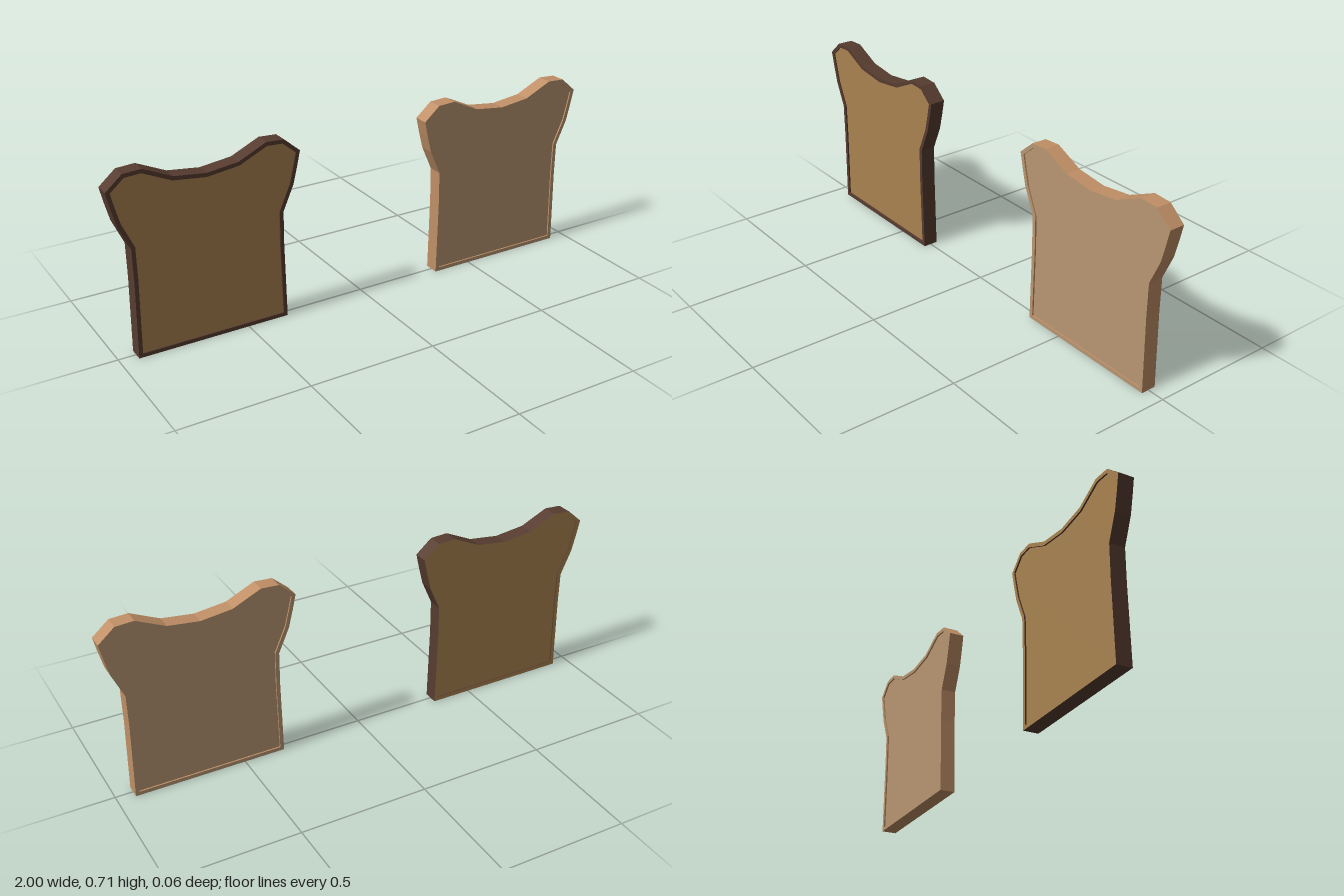
import * as THREE from 'three';

const THICK = 0.06, RIM = 0.015, RECESS = 0.006;

// Right half of the slice outline, bottom corner to the dip at the top
const HALF = [
  [0.297, 0], [0.291, 0.3], [0.292, 0.43], [0.335, 0.527], [0.352, 0.595],
  [0.365, 0.654], [0.302, 0.708], [0.232, 0.712], [0.122, 0.661],
];

function outline() {
  const right = HALF.map(([x, y]) => new THREE.Vector2(x, y));
  const left = HALF.map(([x, y]) => new THREE.Vector2(-x, y)).reverse();
  return [...right, new THREE.Vector2(0, 0.646), ...left];
}

// Mitred inward offset of a counter-clockwise polygon
function inset(points, d) {
  const n = points.length;
  return points.map((p, i) => {
    const a = p.clone().sub(points[(i + n - 1) % n]).normalize();
    const b = points[(i + 1) % n].clone().sub(p).normalize();
    const na = new THREE.Vector2(-a.y, a.x), nb = new THREE.Vector2(-b.y, b.x);
    return p.clone().add(na.clone().add(nb).multiplyScalar(d / (1 + na.dot(nb))));
  });
}

function material(color) {
  return new THREE.MeshStandardMaterial({ color, flatShading: true });
}

function createSlice(name, crustColor, crumbColor, frontRimIsCrust) {
  const slice = new THREE.Group();
  slice.name = name;
  const crustMat = material(crustColor), crumbMat = material(crumbColor);
  const outer = outline(), inner = inset(outer, RIM);

  // Crust: a ring whose back rim, front rim and walls are coloured separately
  const ring = new THREE.Shape(outer);
  ring.holes.push(new THREE.Path(inner));
  const ringGeo = new THREE.ExtrudeGeometry(ring, { depth: THICK, bevelEnabled: false });
  ringGeo.translate(0, 0, -THICK / 2);
  const [lids, walls] = ringGeo.groups.map((g) => g.count);
  ringGeo.clearGroups();
  ringGeo.addGroup(0, lids / 2, 0);
  ringGeo.addGroup(lids / 2, lids / 2, 1);
  ringGeo.addGroup(lids, walls, 2);
  const crust = new THREE.Mesh(ringGeo, [crumbMat, frontRimIsCrust ? crustMat : crumbMat, crustMat]);
  crust.name = 'crust';
  slice.add(crust);

  // Crumb: recessed faces on both sides
  const faceGeo = new THREE.ShapeGeometry(new THREE.Shape(inner));
  faceGeo.translate(0, 0, THICK / 2 - RECESS);
  for (const [side, turn] of [['front', 0], ['back', Math.PI]]) {
    const face = new THREE.Mesh(faceGeo, crumbMat);
    face.name = side + 'Crumb';
    face.rotation.y = turn;
    slice.add(face);
  }
  return slice;
}

export function createModel() {
  const model = new THREE.Group();
  model.name = 'breadSlices';
  const toasted = createSlice('toastedSlice', 0x573c30, 0xa98250, true);
  const plain = createSlice('plainSlice', 0xc08f66, 0xb89672, false);
  toasted.position.x = -0.635;
  plain.position.x = 0.635;
  model.add(toasted, plain);
  return model;
}
